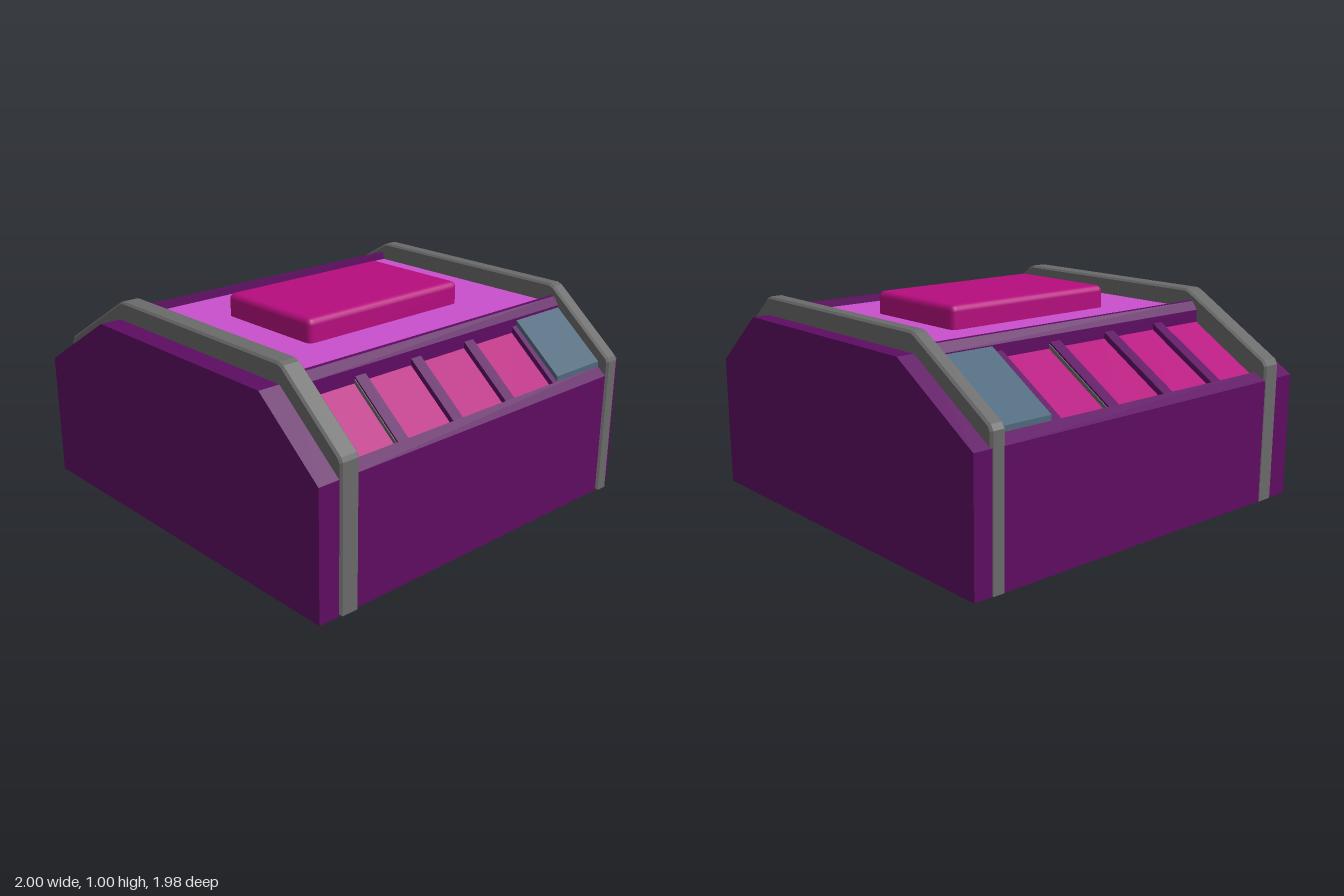
import * as THREE from 'three';
import { RoundedBoxGeometry } from 'three/addons/geometries/RoundedBoxGeometry.js';

const mat = (name, color) => {
  const m = new THREE.MeshStandardMaterial({ color });
  m.name = name;
  return m;
};

export function createModel() {
  const purple = mat('dark purple', 0x5e0c62);
  const violet = mat('light violet', 0xc850cc);
  const magenta = mat('magenta', 0xb60d7e);
  const blue = mat('slate blue', 0x4e687c);
  const grey = mat('grey', 0x6a6a6a);
  const group = new THREE.Group();

  const add = (name, geometry, material) => {
    const mesh = new THREE.Mesh(geometry, material);
    mesh.name = name;
    group.add(mesh);
    return mesh;
  };

  // Extrude an x-y outline from z0 to z1, optionally with chamfered edges
  const slab = (name, pts, z0, z1, material, bevel = 0) => {
    const shape = new THREE.Shape(pts.map(([x, y]) => new THREE.Vector2(x, y)));
    const geo = new THREE.ExtrudeGeometry(shape, {
      depth: z1 - z0 - 2 * bevel, bevelEnabled: bevel > 0, bevelSize: bevel,
      bevelThickness: bevel, bevelOffset: -bevel, bevelSegments: 1,
    });
    geo.translate(0, 0, z0 + bevel);
    return add(name, geo, material);
  };

  // Main body: sunken core between two end slabs
  slab('bodyCore', [[-0.997, 0], [0.99, 0], [0.99, 0.555], [0.64, 0.845], [-0.52, 0.845], [-0.997, 0.555]],
    -0.85, 0.8, purple);
  slab('frontSlab', [[-0.997, 0], [0.99, 0], [0.99, 0.6], [0.64, 0.89], [-0.52, 0.89], [-0.997, 0.602]],
    0.8, 0.985, purple);
  slab('backSlab', [[-0.997, 0], [0.945, 0], [0.945, 0.637], [0.64, 0.89], [-0.52, 0.89], [-0.997, 0.602]],
    -0.99, -0.85, purple);

  // Grey bands wrapping over the body
  const bandOutline = [[-1, 0], [1, 0], [1, 0.67], [0.99, 0.69], [0.655, 0.97], [0.63, 0.98],
    [-0.5, 0.98], [-0.525, 0.97], [-0.985, 0.695], [-1, 0.67]];
  slab('frontBand', bandOutline, 0.78, 0.88, grey, 0.01);
  slab('backBand', bandOutline, -0.905, -0.83, grey, 0.01);

  // Top panel and raised pad
  const panel = add('topPanel', new THREE.BoxGeometry(1.16, 0.09, 1.64), violet);
  panel.position.set(0.06, 0.845, -0.025);
  const pad = add('raisedPad', new RoundedBoxGeometry(0.585, 0.2, 0.95, 2, 0.03), magenta);
  pad.position.set(0.053, 0.9, -0.008);

  // Sloped sides; heights are offsets from the slope line
  const sides = [
    { name: 'left', outer: 0.99, sill: 0.945, rim: 0.69, top: 0.635, k: -0.29 / 0.35, blueEnd: -0.515, sliver: 0.515 },
    { name: 'right', outer: -0.997, sill: -0.94, rim: -0.575, top: -0.515, k: 0.29 / 0.48, blueEnd: -0.54, sliver: -0.215 },
  ];
  const windows = [[0.52, 0.785], [0.19, 0.46], [-0.15, 0.13], [-0.485, -0.21]];

  for (const s of sides) {
    const y = (x) => 0.6 + (x - s.outer) * s.k;
    const part = (name, x0, x1, z0, z1, lo, hi, material) => slab(s.name + name,
      [[x0, y(x0) + lo], [x1, y(x1) + lo], [x1, y(x1) + hi], [x0, y(x0) + hi]], z0, z1, material);

    // Sill along the lower edge and rim along the top edge
    part('Sill', s.sill, s.outer, -0.84, 0.79, -0.05, 0, purple);
    const w = s.rim - s.top;
    slab(s.name + 'Rim', [[s.top, 0.83], [s.top + w * 0.1, 0.925], [s.top + w * 0.5, 0.925],
      [s.rim, 0.885], [s.rim, 0.8]], -0.84, 0.79, purple);

    // Recessed windows and the dividers behind each
    windows.forEach(([z0, z1], i) => {
      part('Window' + (i + 1), s.rim, s.sill, z0, z1, -0.05, -0.03, magenta);
      const next = i < 3 ? windows[i + 1][1] : s.blueEnd;
      part('Divider' + (i + 1), s.rim, s.sill, next, z0, -0.05, 0, purple);
    });

    // Thin grey strip beside one window
    part('Strip', s.rim, s.sill, s.sliver, s.sliver + 0.009, -0.05, -0.01, grey);

    // Raised blue plate at the back
    part('BluePlate', s.rim, s.sill, -0.84, s.blueEnd, -0.05, 0.025, blue);
  }
  return group;
}
